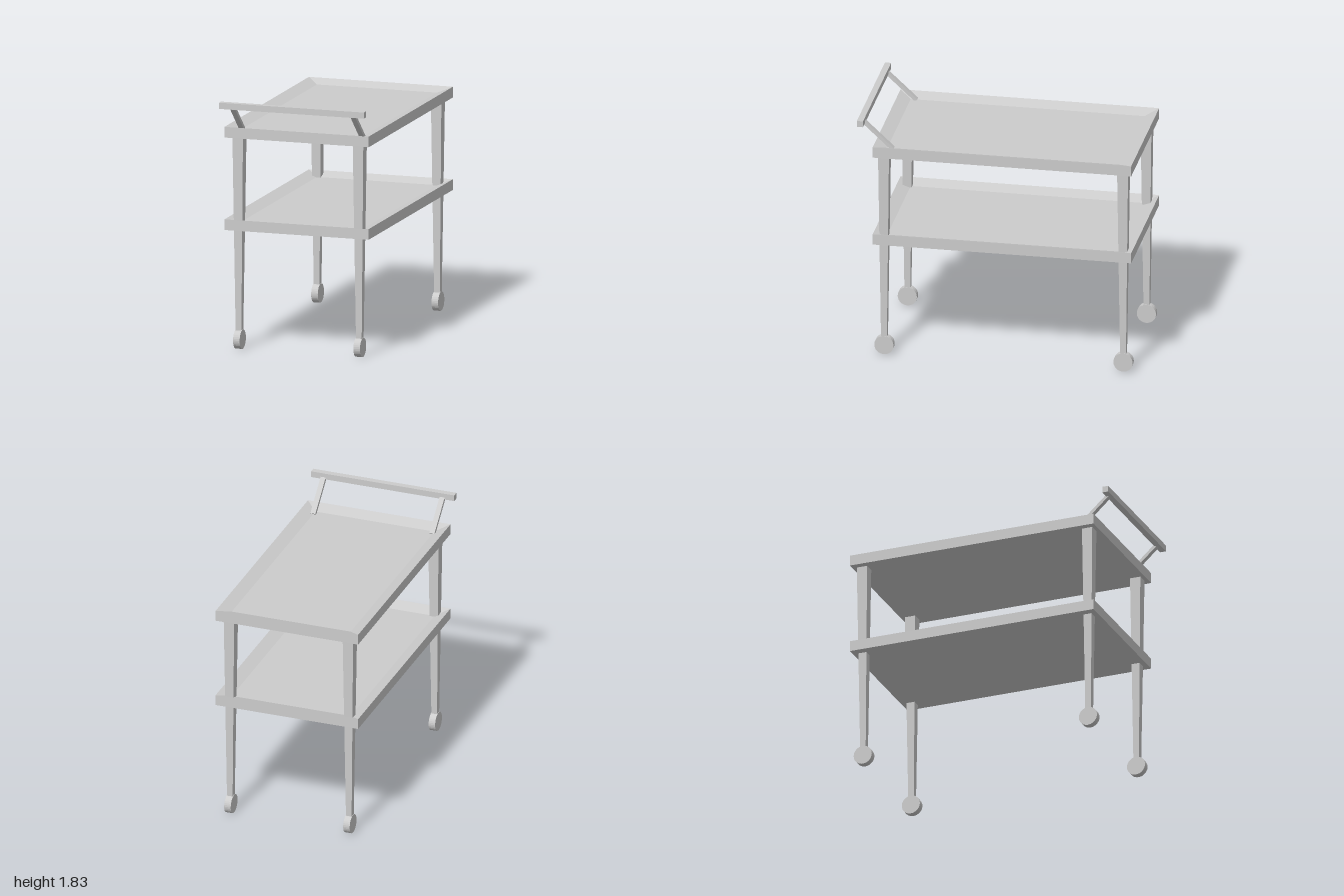
import * as THREE from 'three';

const material = new THREE.MeshStandardMaterial({ color: 0xcccccc, flatShading: true });

// Flat-sided solid through a stack of rectangles [halfX, y, halfZ], capped at both ends
function rectLoft(sections) {
  const rings = sections.map(([hx, y, hz]) => [[-hx, y, hz], [hx, y, hz], [hx, y, -hz], [-hx, y, -hz]]);
  const points = [];
  const quad = (a, b, c, d) => points.push(...a, ...b, ...c, ...a, ...c, ...d);
  for (let i = 0; i < rings.length - 1; i++) {
    for (let j = 0; j < 4; j++) {
      const k = (j + 1) % 4;
      quad(rings[i][j], rings[i][k], rings[i + 1][k], rings[i + 1][j]);
    }
  }
  const [a, b, c, d] = rings[0];
  quad(d, c, b, a);
  quad(...rings[rings.length - 1]);
  const geometry = new THREE.BufferGeometry();
  geometry.setAttribute('position', new THREE.Float32BufferAttribute(points, 3));
  geometry.computeVertexNormals();
  return geometry;
}

export function createModel() {
  const group = new THREE.Group();
  const add = (name, geometry, x, y, z) => {
    const mesh = new THREE.Mesh(geometry, material);
    mesh.name = name;
    mesh.position.set(x, y, z);
    group.add(mesh);
    return mesh;
  };

  // Two trays, each with a shallow sloping rim around a sunken floor
  const tray = rectLoft([
    [0.545, 0, 0.942], [0.545, 0.078, 0.942], [0.455, 0.046, 0.852],
  ]);
  add('upperTray', tray, 0, 1.55, -0.057);
  add('lowerTray', tray, 0, 0.874, -0.057);

  // Tapered square legs, each standing on a wheel
  const leg = rectLoft([[0.021, 0.08, 0.021], [0.04, 1.56, 0.04]]);
  const wheel = new THREE.CylinderGeometry(0.07, 0.07, 0.05, 32).rotateZ(Math.PI / 2);
  for (const [end, z] of [['front', 0.815], ['rear', -0.927]]) {
    for (const [side, x] of [['Left', 0.455], ['Right', -0.455]]) {
      add(`${end}${side}Leg`, leg, x, 0, z);
      add(`${end}${side}Wheel`, wheel, x, 0.07, z);
    }
  }

  // Push handle: square bar on two slanted struts
  add('handleBar', new THREE.BoxGeometry(1.095, 0.045, 0.045), 0, 1.804, 0.977);
  const low = new THREE.Vector3(0, 1.595, 0.752);
  const high = new THREE.Vector3(0, 1.797, 0.972);
  const slope = high.clone().sub(low);
  const strut = new THREE.BoxGeometry(0.038, slope.length(), 0.023);
  const middle = low.add(high).multiplyScalar(0.5);
  for (const [side, x] of [['left', 0.455], ['right', -0.455]]) {
    add(`${side}HandleStrut`, strut, x, middle.y, middle.z).rotation.x = Math.atan2(slope.z, slope.y);
  }

  return group;
}
